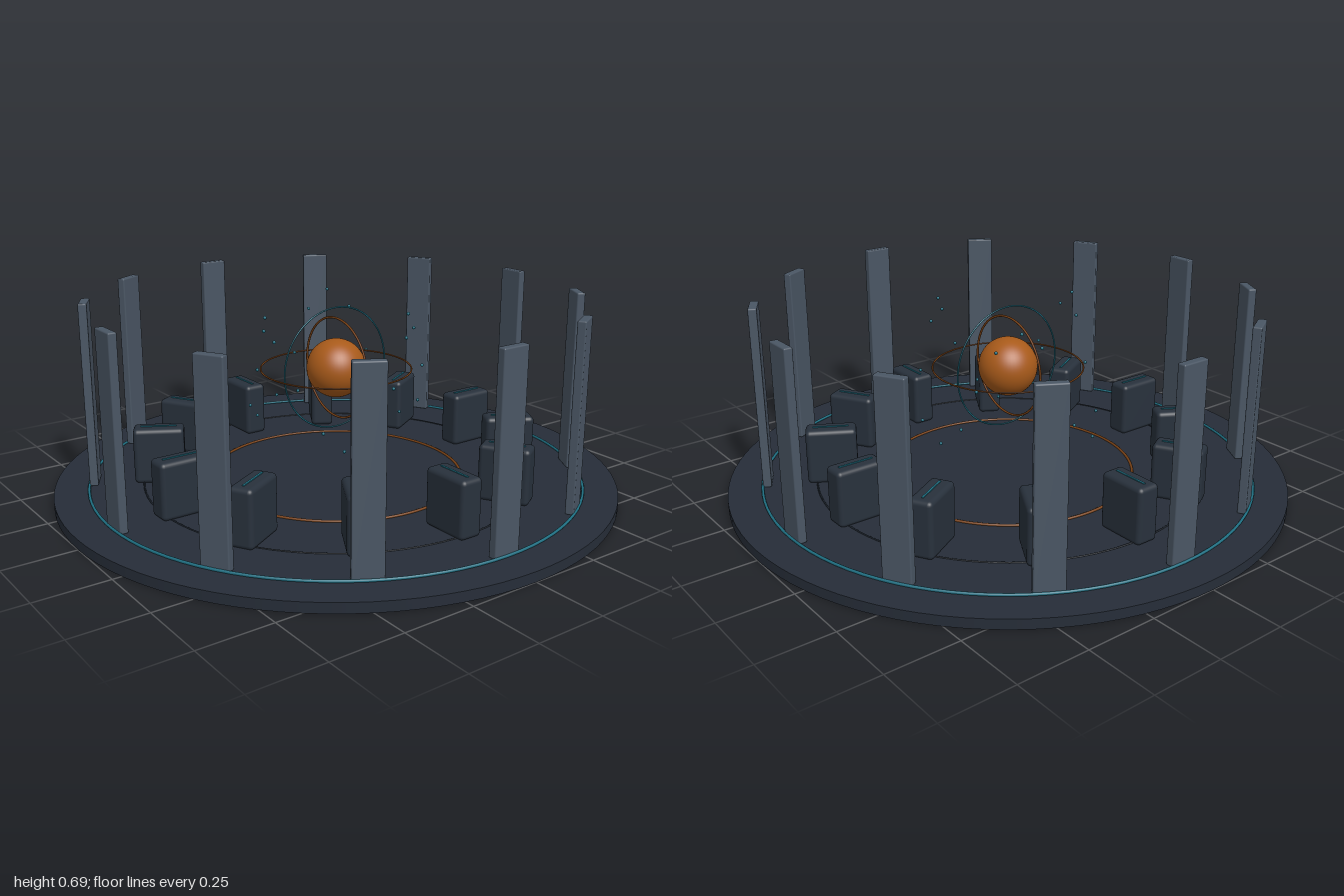
import * as THREE from 'three';
import { RoundedBoxGeometry } from 'three/addons/geometries/RoundedBoxGeometry.js';

const FLOOR = 0.035, CORE_Y = 0.43, COUNT = 12;

const paint = (color) => {
  const material = new THREE.MeshStandardMaterial();
  material.color.set(color);
  return material;
};
const mats = {
  floor: paint(0x262d38), console: paint(0x28313c), pillar: paint(0x4a5664),
  cyan: paint(0x1f6f82), orange: paint(0xa85a1a), rust: paint(0x7a4216), dark: paint(0x1c232c),
};

export function createModel() {
  const model = new THREE.Group();
  model.name = 'chamber';

  const add = (name, geometry, material, parent = model) => {
    const mesh = new THREE.Mesh(geometry, material);
    mesh.name = name;
    parent.add(mesh);
    return mesh;
  };
  const ring = (name, radius, tube, material, y) => {
    const mesh = add(name, new THREE.TorusGeometry(radius, tube, 8, 96), material);
    mesh.position.y = y;
    return mesh;
  };

  // Round platform
  add('platform', new THREE.CylinderGeometry(1, 1, FLOOR, 96), mats.floor).position.y = FLOOR / 2;

  // Thin rings lying on the floor
  ring('outerFloorRing', 0.88, 0.005, mats.cyan, 0.039).rotation.x = Math.PI / 2;
  ring('middleFloorRing', 0.69, 0.003, mats.dark, 0.035).rotation.x = Math.PI / 2;
  ring('innerFloorRing', 0.453, 0.005, mats.rust, 0.037).rotation.x = Math.PI / 2;

  // Pillars and consoles repeated around the centre
  const pillarGeo = new RoundedBoxGeometry(0.1, 0.655, 0.03, 2, 0.005);
  const consoleGeo = new RoundedBoxGeometry(0.085, 0.2, 0.178, 3, 0.016);
  const stripGeo = new THREE.BoxGeometry(0.007, 0.004, 0.125);
  for (let i = 0; i < COUNT; i++) {
    const bay = new THREE.Group();
    bay.name = 'bay' + i;
    bay.rotation.y = (i / COUNT) * Math.PI * 2;
    model.add(bay);
    add('pillar', pillarGeo, mats.pillar, bay).position.set(0, FLOOR + 0.3275, 0.863);
    add('console', consoleGeo, mats.console, bay).position.set(0, FLOOR + 0.098, 0.632);
    add('lightStrip', stripGeo, mats.cyan, bay).position.set(0, 0.234, 0.632);
  }

  // Floating core with three perpendicular orbit rings
  add('core', new THREE.SphereGeometry(0.105, 48, 32), mats.orange).position.y = CORE_Y;
  ring('frontOrbit', 0.18, 0.004, mats.rust, CORE_Y);
  ring('sideOrbit', 0.218, 0.003, mats.cyan, CORE_Y).rotation.y = Math.PI / 2;
  ring('levelOrbit', 0.267, 0.003, mats.rust, CORE_Y).rotation.x = Math.PI / 2;

  // Tiny motes on a wavy path around the core
  const moteGeo = new THREE.SphereGeometry(0.006, 8, 6);
  for (let i = 0; i < 24; i++) {
    const a = (i / 24) * Math.PI * 2;
    const r = 0.294 + 0.03 * Math.cos(5 * a);
    add('mote', moteGeo, mats.cyan).position.set(
      r * Math.cos(a), CORE_Y - 0.22 * Math.sin(3 * a), r * Math.sin(a));
  }
  return model;
}
